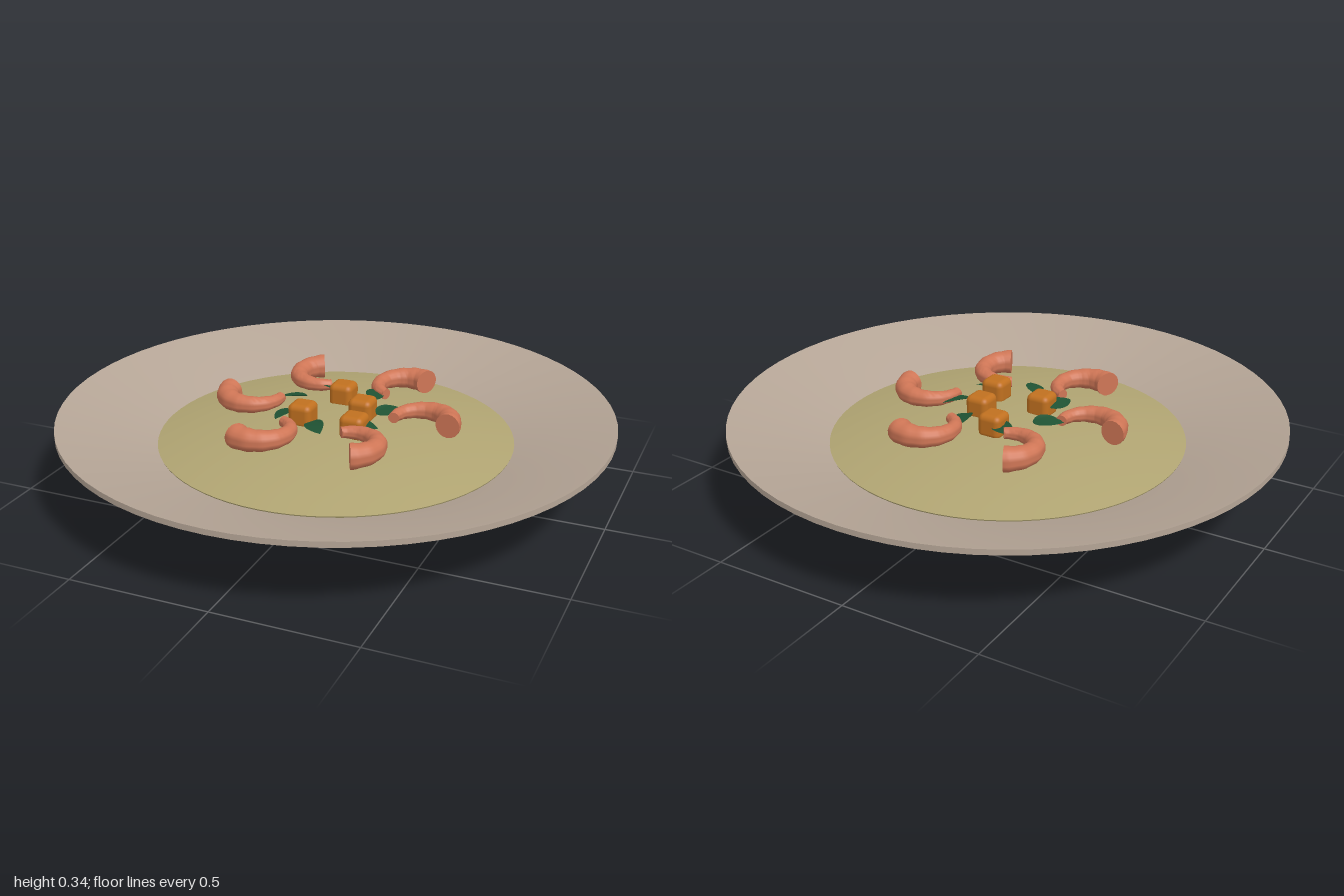
import * as THREE from 'three';
import { toCreasedNormals } from 'three/addons/utils/BufferGeometryUtils.js';
import { RoundedBoxGeometry } from 'three/addons/geometries/RoundedBoxGeometry.js';

const paint = (color) => new THREE.MeshStandardMaterial({ color });
const plateMat = paint(0xb5a596);
const soupMat = paint(0xb0a472);
const shrimpMat = paint(0xcf7656);
const cubeMat = paint(0xc0701f);
const leafMat = paint(0x1f5233);
leafMat.side = THREE.DoubleSide;

const rad = THREE.MathUtils.degToRad;
const lathe = (pts) => new THREE.LatheGeometry(pts.map(([x, y]) => new THREE.Vector2(x, y)), 72);

function add(parent, name, geometry, material) {
  const mesh = new THREE.Mesh(geometry, material);
  mesh.name = name;
  parent.add(mesh);
  return mesh;
}

// Tapered curl: a capped cylinder bent round a horizontal arc, fat end outward
function shrimpGeometry() {
  const arc = 0.1, sweep = rad(190);
  const geo = new THREE.CylinderGeometry(1, 1, 1, 18, 40);
  const p = geo.attributes.position;
  for (let i = 0; i < p.count; i++) {
    const t = p.getY(i) + 0.5;
    const ridge = 1 + 0.025 * Math.sin(t * Math.PI * 14);
    const r = THREE.MathUtils.lerp(0.045, 0.02, t) * ridge;
    const a = rad(4) - sweep * t;
    const d = arc + p.getX(i) * r;
    p.setXYZ(i, d * Math.cos(a), p.getZ(i) * r, d * Math.sin(a));
  }
  return toCreasedNormals(geo, 0.9);
}

// Pointed leaf lying flat, tip along +x, sides lifted slightly
function leafGeometry() {
  const s = new THREE.Shape();
  s.moveTo(-0.05, 0);
  s.bezierCurveTo(-0.045, 0.045, 0.015, 0.045, 0.06, 0);
  s.bezierCurveTo(0.015, -0.045, -0.045, -0.045, -0.05, 0);
  const geo = new THREE.ShapeGeometry(s, 12).rotateX(-Math.PI / 2);
  const p = geo.attributes.position;
  for (let i = 0; i < p.count; i++) p.setY(i, Math.abs(p.getZ(i)) * 0.3);
  geo.computeVertexNormals();
  return geo;
}

export function createModel() {
  const model = new THREE.Group();
  model.name = 'soupPlate';

  // Wide-rimmed plate on a small foot
  add(model, 'plate', toCreasedNormals(lathe([
    [0, 0], [0.41, 0], [0.45, 0.05], [0.6, 0.105], [0.8, 0.184], [1, 0.265],
    [1, 0.285], [0.98, 0.28], [0.82, 0.232], [0.645, 0.178], [0.5, 0.12], [0.4, 0.09], [0, 0.08],
  ]), 0.65), plateMat);

  // Gently domed soup surface
  const dome = [[0.64, 0.17]];
  for (let i = 12; i >= 0; i--) {
    const t = i / 12;
    dome.push([0.645 * t, 0.262 - 0.08 * t * t]);
  }
  add(model, 'soup', toCreasedNormals(lathe(dome), 0.6), soupMat);

  // Ring of six shrimp
  const shrimp = shrimpGeometry();
  for (let i = 0; i < 6; i++) {
    const a = i * Math.PI / 3;
    const m = add(model, 'shrimp', shrimp, shrimpMat);
    m.position.set(0.325 * Math.cos(a), 0.291, 0.325 * Math.sin(a));
    m.rotation.y = -a;
  }

  // Diced vegetable cubes
  const cube = new RoundedBoxGeometry(0.09, 0.09, 0.09, 3, 0.022);
  for (const [x, z] of [[-0.03, -0.145], [0.09, -0.035], [-0.09, 0.09], [0.12, 0.12]]) {
    add(model, 'vegetableCube', cube, cubeMat).position.set(x, 0.287, z);
  }

  // Ring of seven herb leaves, each turned from its radius
  const leaf = leafGeometry();
  for (let i = 0; i < 7; i++) {
    const a = Math.PI / 2 + i * Math.PI * 2 / 7;
    const m = add(model, 'herbLeaf', leaf, leafMat);
    m.position.set(0.19 * Math.cos(a), 0.288, 0.19 * Math.sin(a));
    m.rotation.set(0.2, rad(41) - a, 0, 'YXZ');
  }
  return model;
}
